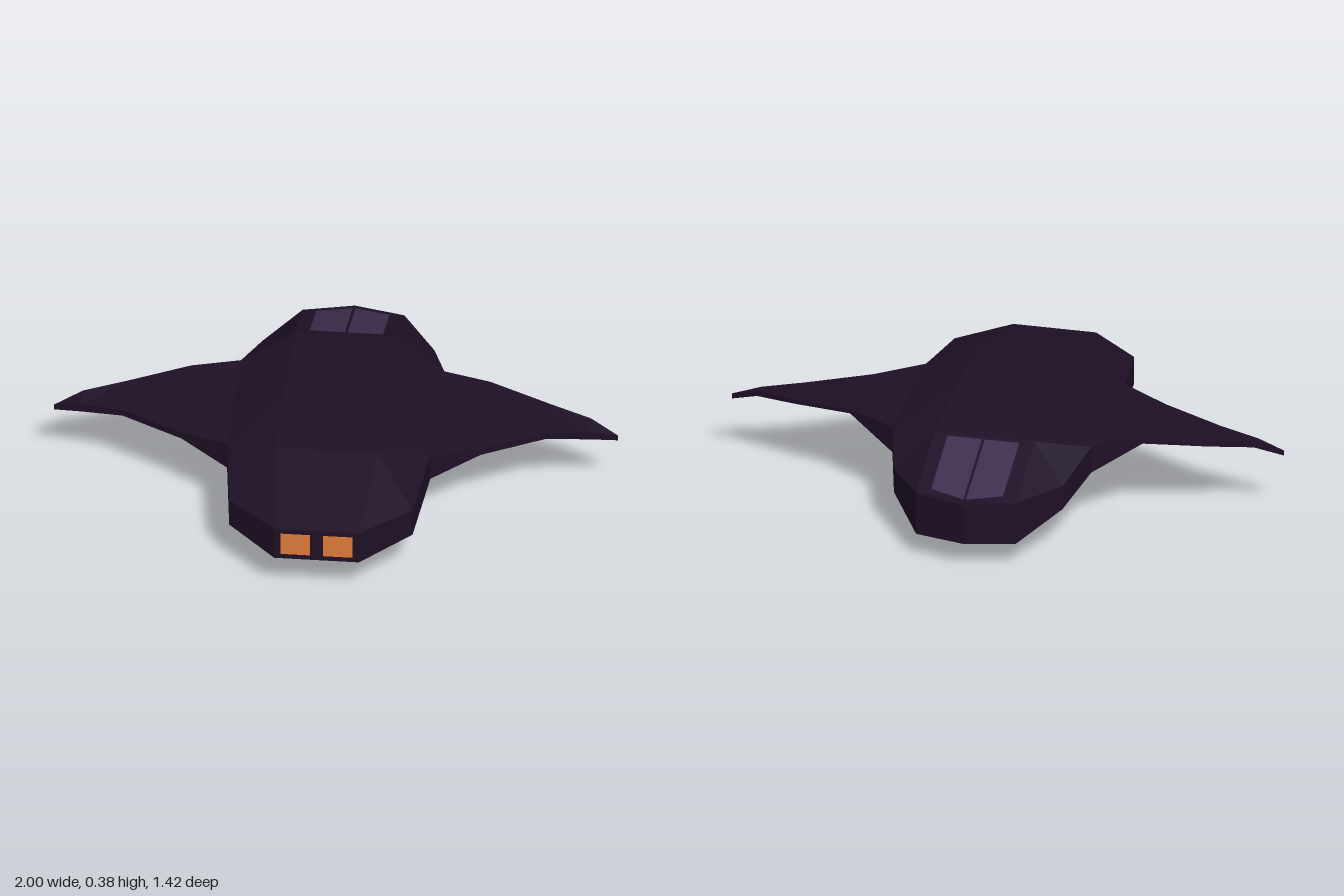
import * as THREE from 'three';

const material = (color) => new THREE.MeshStandardMaterial({ color, flatShading: true });

// Joins rings of [x, y, z] points into faceted skin; side = -1 mirrors it across x.
function loft(rings, side) {
  const pos = [];
  const tri = (a, b, c) => {
    for (const p of side > 0 ? [a, b, c] : [a, c, b]) pos.push(p[0] * side, p[1], p[2]);
  };
  for (let i = 0; i < rings.length - 1; i++) {
    const r = rings[i], s = rings[i + 1];
    for (let j = 0; j < r.length - 1; j++) {
      tri(r[j], s[j], r[j + 1]);
      tri(r[j + 1], s[j], s[j + 1]);
    }
  }
  // cap over the first ring
  const first = rings[0];
  for (let j = 1; j < first.length - 1; j++) tri(first[0], first[j], first[j + 1]);
  const geometry = new THREE.BufferGeometry();
  geometry.setAttribute('position', new THREE.Float32BufferAttribute(pos, 3));
  geometry.computeVertexNormals();
  return geometry;
}

// Half hull section: top rail, side wall and keel rail, each with its own z
const hullRing = ([tx, ty, tz], [w, yu, yl, sz], [bx, by, bz]) => [
  [0, by, bz], [bx, by, bz], [w, yl, sz], [w, yu, sz], [tx, ty, tz], [0, ty, tz],
];

const hullRings = [
  hullRing([0.15, 0.265, 0.71], [0.15, 0.265, 0.14, 0.71], [0.15, 0.14, 0.71]),
  hullRing([0.18, 0.355, 0.34], [0.325, 0.265, 0.16, 0.55], [0.18, 0.03, 0.34]),
  hullRing([0.18, 0.378, 0.01], [0.36, 0.30, 0.20, 0.26], [0.18, 0, 0.01]),
  hullRing([0.18, 0.355, -0.37], [0.36, 0.30, 0.20, -0.26], [0.18, 0.041, -0.3]),
  hullRing([0.18, 0.25, -0.66], [0.305, 0.24, 0.15, -0.47], [0.18, 0.063, -0.47]),
  hullRing([0.18, 0.25, -0.66], [0.18, 0.25, 0.09, -0.66], [0.18, 0.09, -0.66]),
  hullRing([0, 0.245, -0.71], [0, 0.245, 0.095, -0.71], [0, 0.095, -0.71]),
];

// Wing station: x, then z, top and bottom of the front edge and of the rear edge
const wingRings = [
  [0.36, 0.26, 0.30, 0.20, -0.26, 0.30, 0.20],
  [0.53, 0.175, 0.28, 0.255, -0.19, 0.315, 0.30],
  [0.75, 0.055, 0.28, 0.255, -0.11, 0.29, 0.275],
  [0.90, 0.015, 0.265, 0.235, -0.05, 0.28, 0.26],
  [1.00, -0.01, 0.24, 0.22, -0.01, 0.24, 0.22],
].map(([x, zf, tf, bf, zr, tr, br]) => [
  [x, bf, zf], [x, tf, zf], [x, tr, zr], [x, br, zr], [x, bf, zf],
]);

// Single window pane lying just above the sloped canopy
const paneRings = [
  [[0.005, 0.353, -0.39], [0.13, 0.353, -0.39]],
  [[0.005, 0.254, -0.68], [0.13, 0.263, -0.64]],
];

export function createModel() {
  const group = new THREE.Group();
  const hullMaterial = material(0x1e1026);
  const glassMaterial = material(0x3d2e4e);
  glassMaterial.side = THREE.DoubleSide;
  const glowMaterial = material(0xe07b39);

  const add = (name, geometry, mat) => {
    const mesh = new THREE.Mesh(geometry, mat);
    mesh.name = name;
    group.add(mesh);
    return mesh;
  };

  for (const side of [1, -1]) {
    const label = side > 0 ? 'left' : 'right';
    add(label + 'Hull', loft(hullRings, side), hullMaterial);
    add(label + 'Wing', loft(wingRings, side), hullMaterial);
    add(label + 'CanopyWindow', loft(paneRings, -side), glassMaterial);
    // glowing panel on the flat front end
    add(label + 'EnginePanel', new THREE.BoxGeometry(0.105, 0.085, 0.008), glowMaterial)
      .position.set(side * 0.075, 0.203, 0.709);
  }
  return group;
}
